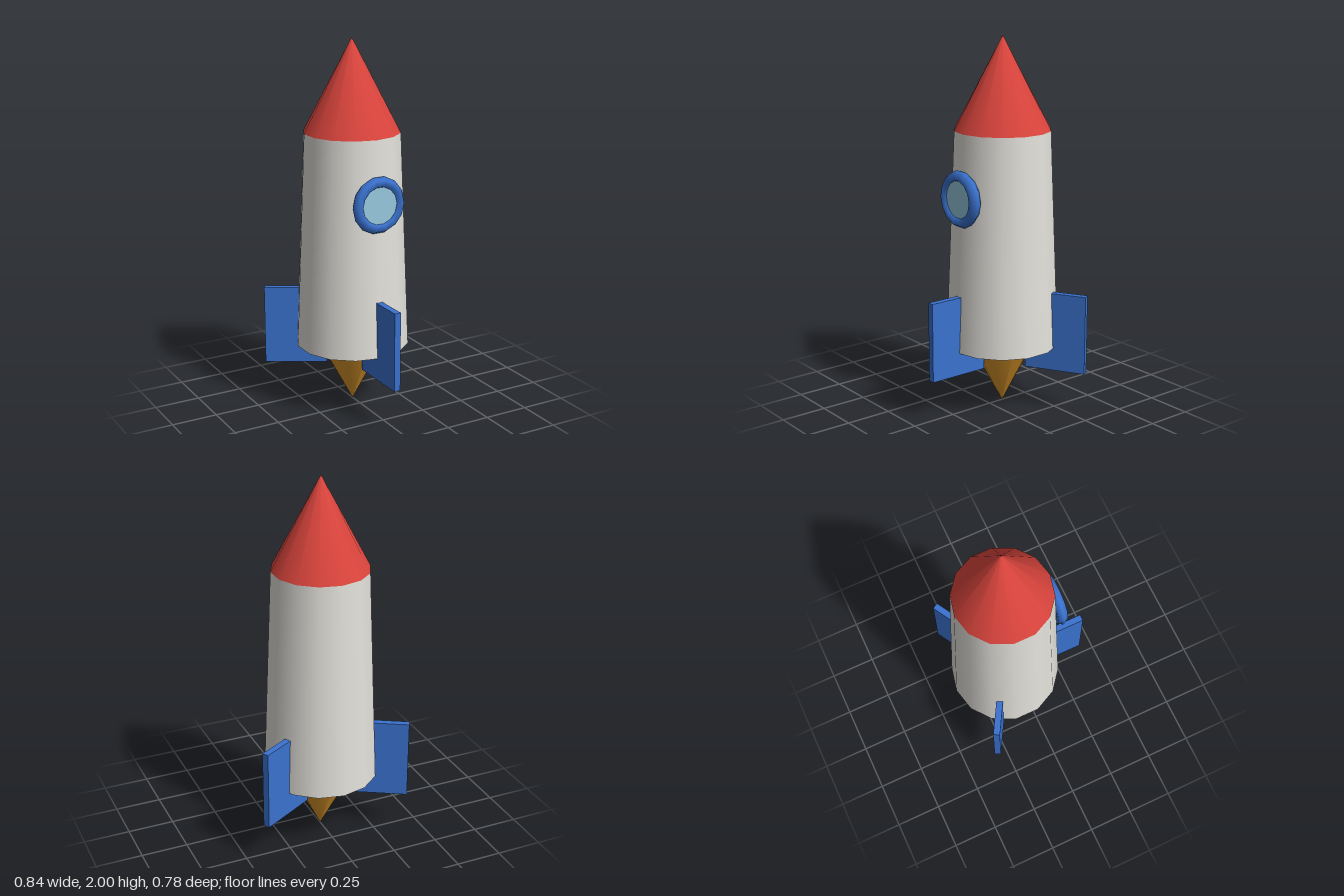
import * as THREE from 'three';

export function createModel() {
  const group = new THREE.Group();
  const axisZ = -0.086;

  const mat = (name, color) => {
    const m = new THREE.MeshStandardMaterial({ color });
    m.name = name;
    return m;
  };
  const white = mat('hull white', 0xe4e2dc);
  const red = mat('nose red', 0xd9443c);
  const blue = mat('trim blue', 0x3a72cf);
  const gold = mat('flame gold', 0xe09a2b);
  const glass = mat('window glass', 0x98cbdf);

  const add = (name, geometry, material, y, z) => {
    const mesh = new THREE.Mesh(geometry, material);
    mesh.name = name;
    mesh.position.set(0, y, z);
    group.add(mesh);
    return mesh;
  };

  // Tapered hull and nose cone share a 14-sided outline
  const hullBottom = 0.343, hullTop = 1.51;
  add('hull', new THREE.CylinderGeometry(0.258, 0.307, hullTop - hullBottom, 14),
    white, (hullTop + hullBottom) / 2, axisZ);
  add('noseCone', new THREE.ConeGeometry(0.258, 2 - hullTop, 14), red, (2 + hullTop) / 2, axisZ);

  // Flame: a cone pointing down
  add('flame', new THREE.ConeGeometry(0.18, hullBottom, 10).rotateX(Math.PI),
    gold, hullBottom / 2, axisZ);

  // Round window: chunky ring with a glass disc set inside
  add('windowRing', new THREE.TorusGeometry(0.121, 0.031, 6, 14), blue, 1.175, 0.192);
  add('windowGlass', new THREE.CylinderGeometry(0.115, 0.115, 0.03, 14).rotateX(Math.PI / 2),
    glass, 1.175, 0.193);

  // Three fins, one at the front and two swept to the back
  const finInner = 0.14, finOuter = 0.476;
  for (let i = 0; i < 3; i++) {
    const geometry = new THREE.BoxGeometry(0.036, 0.43, finOuter - finInner);
    geometry.translate(0, 0, (finInner + finOuter) / 2);
    add('fin' + (i + 1), geometry, blue, 0.436, axisZ).rotation.y = (i * Math.PI * 2) / 3;
  }

  return group;
}
